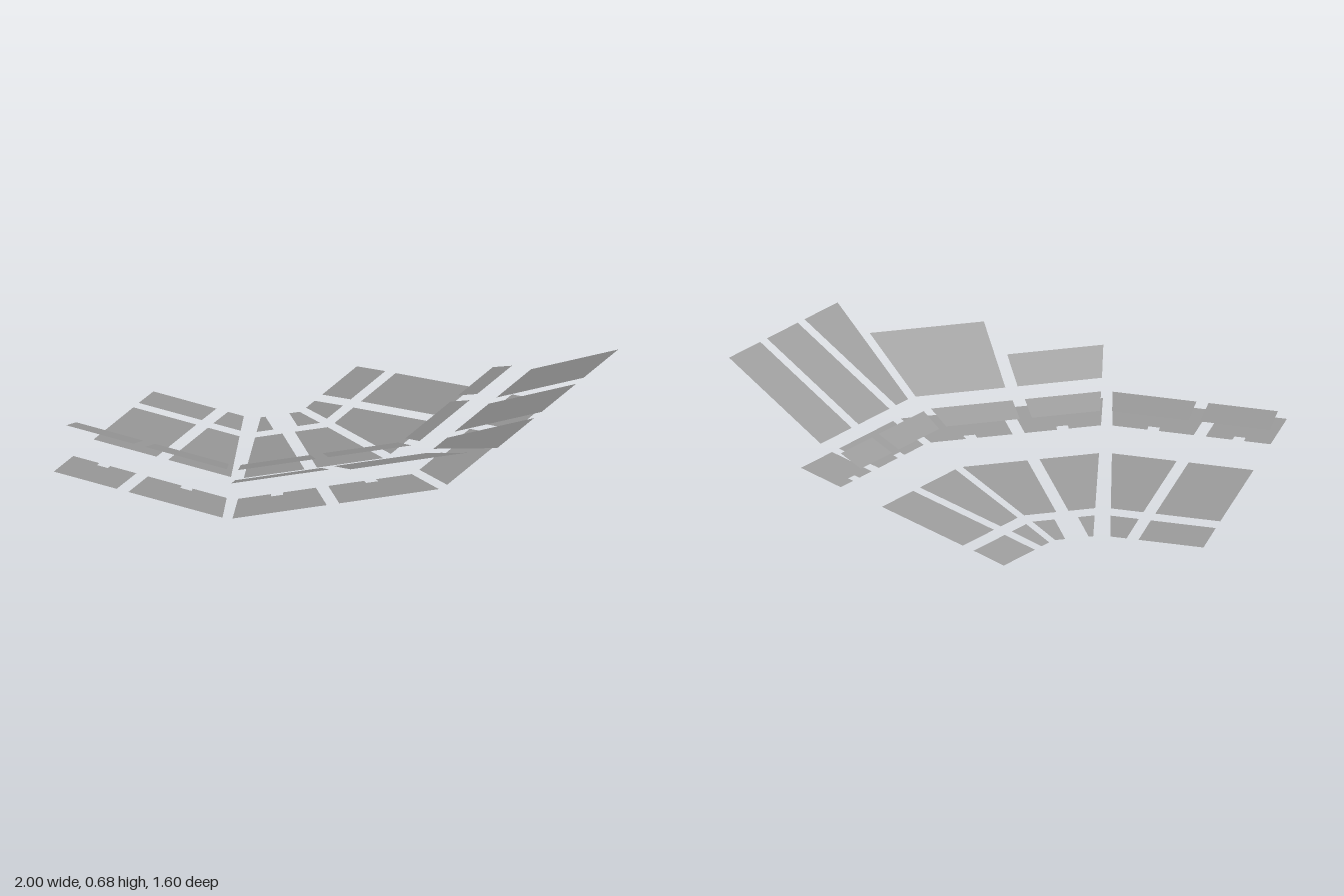
import * as THREE from 'three';

// Corner of a stadium: flat raked seating panels in stacked tiers.
// Each stand faces the field; depth runs away from it and s runs along the rows.
// Neighbouring stands meet on mitred aisles, where s changes with depth.
const MITRE = 0.361;
const STANDS = [
  { name: 'rightStand', angle: 0.08, offset: 0.286, start: [-0.772, 0], end: [-0.146, 0.368], aisles: [-0.496] },
  { name: 'cornerStand', angle: Math.PI / 4, offset: 0.145, start: [-0.258, -MITRE], end: [0.424, MITRE], aisles: [0.095] },
  { name: 'leftStand', angle: 1.451, offset: 0.391, start: [0.293, -MITRE], end: [0.97, 0], aisles: [0.65] },
];

// Front and back depth, front height and rake; changes holds what differs per stand
const TIERS = [
  { name: 'fieldTier', front: -0.711, back: -0.562, y: 0, rake: 0.268,
    changes: { cornerStand: { gap: 0.052 } } },
  { name: 'lowerTier', front: -0.508, back: -0.105, y: 0.053, rake: 0.253 },
  { name: 'middleTier', front: 0.1, back: 0.298, y: 0.206, rake: 0.258, door: true },
  { name: 'clubTier', front: 0, back: 0.1, y: 0.306, rake: 0.51,
    changes: { leftStand: { aisles: [0.663], end: [1.003, 0] } } },
  // The upper deck gets shallower round the corner and stops before the left stand
  { name: 'upperDeck', front: 0.2, back: 0.656, y: 0.382, rake: 0.664,
    changes: {
      rightStand: { aisles: [-0.496, -0.196] },
      cornerStand: { backs: [0.5, 0.345] },
      leftStand: { closed: true },
    } },
];

const HALF_AISLE = 0.027;
const DOOR_WIDTH = 0.051;
const DOOR_DEPTH = 0.026;

// Sloped sheet between its four corners, with an optional doorway notch in the front edge
function panelGeometry([fa, fb, bb, ba], door) {
  const at = (u, v) => fa.clone().lerp(fb, u).lerp(ba.clone().lerp(bb, u), v);

  let strips = [[0, 1, 0]];
  if (door) {
    const half = DOOR_WIDTH / 2 / fa.distanceTo(fb);
    const depth = DOOR_DEPTH / at(0.5, 0).distanceTo(at(0.5, 1));
    strips = [[0, 0.5 - half, 0], [0.5 - half, 0.5 + half, depth], [0.5 + half, 1, 0]];
  }
  const points = [];
  for (const [u0, u1, v] of strips) {
    const [p, q, r, s] = [at(u0, v), at(u1, v), at(u1, 1), at(u0, 1)];
    points.push(p, q, r, p, r, s);
  }
  const geometry = new THREE.BufferGeometry().setFromPoints(points);
  geometry.computeVertexNormals();
  return geometry;
}

// All panels of one tier in one stand, divided by the aisles
function standPanels(tier, stand, material) {
  const group = new THREE.Group();
  group.name = stand.name;
  const { angle, offset, start, end, aisles, gap = HALF_AISLE, backs } = stand;
  const cos = Math.cos(angle);
  const sin = Math.sin(angle);
  const place = ([s, slope], depth) => {
    const along = s + slope * depth;
    const out = offset + depth;
    const y = tier.y + tier.rake * (depth - tier.front);
    return new THREE.Vector3(out * cos - along * sin, y, out * sin + along * cos);
  };
  for (let i = 0; i <= aisles.length; i++) {
    const a = i === 0 ? start : [aisles[i - 1] + gap, 0];
    const b = i === aisles.length ? end : [aisles[i] - gap, 0];
    const back = backs ? backs[i] : tier.back;
    const corners = [place(a, tier.front), place(b, tier.front), place(b, back), place(a, back)];
    const mesh = new THREE.Mesh(panelGeometry(corners, tier.door), material);
    mesh.name = `${tier.name}Panel${i + 1}`;
    group.add(mesh);
  }
  return group;
}

export function createModel() {
  const model = new THREE.Group();
  model.name = 'stadiumSeating';
  // Mid-grey seating
  const material = new THREE.MeshStandardMaterial({
    color: 0x999999, side: THREE.DoubleSide, flatShading: true,
  });
  for (const tier of TIERS) {
    const group = new THREE.Group();
    group.name = tier.name;
    for (const base of STANDS) {
      const stand = { ...base, ...tier.changes?.[base.name] };
      if (!stand.closed) group.add(standPanels(tier, stand, material));
    }
    model.add(group);
  }
  return model;
}
